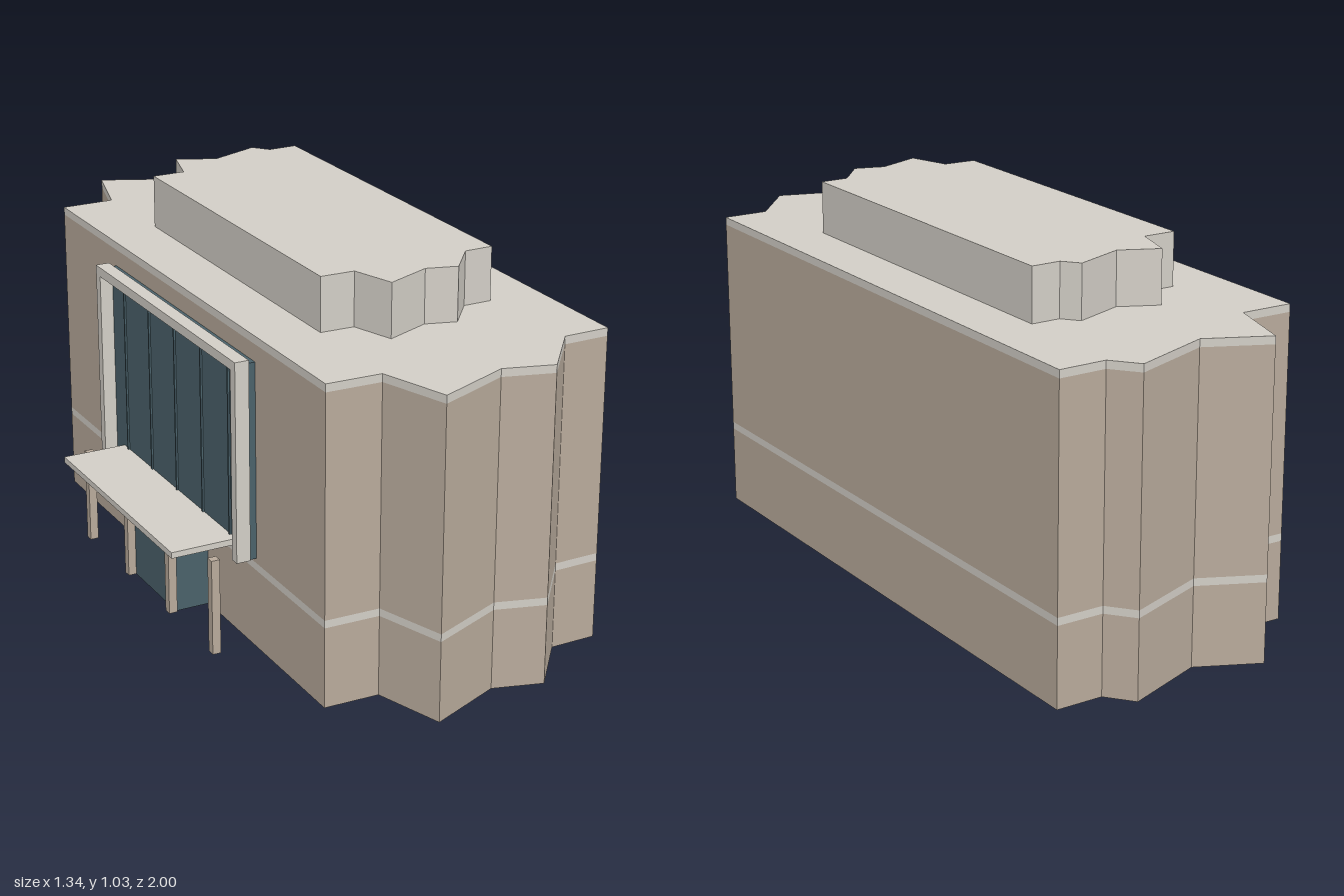
import * as THREE from 'three';

const stone = new THREE.MeshStandardMaterial({ color: 0xb8aa9b });
const trim = new THREE.MeshStandardMaterial({ color: 0xd2cec6 });
const glass = new THREE.MeshStandardMaterial({ color: 0x4a616a });

// Building footprint as [x, z] corners
const footprint = [
  [0.10, -1.0], [0.246, -0.877], [0.497, -0.905], [0.535, -0.82], [0.667, -0.787],
  [0.21, 0.91], [0.083, 0.877], [-0.083, 0.995], [-0.203, 0.92], [-0.427, 0.95],
  [-0.437, 0.745], [-0.585, 0.70], [-0.157, -0.857], [-0.01, -0.817],
];

function storey(name, y0, y1, material, scale = 1, dx = 0) {
  const shape = new THREE.Shape(
    footprint.map(([x, z]) => new THREE.Vector2(x * scale + dx, -z * scale)));
  const geo = new THREE.ExtrudeGeometry(shape, { depth: y1 - y0, bevelEnabled: false });
  geo.rotateX(-Math.PI / 2).translate(0, y0, 0);
  const mesh = new THREE.Mesh(geo, material);
  mesh.name = name;
  return mesh;
}

// Box given by its extents [x0, x1], [y0, y1], [z0, z1]
function box(name, [x0, x1], [y0, y1], [z0, z1], material) {
  const mesh = new THREE.Mesh(new THREE.BoxGeometry(x1 - x0, y1 - y0, z1 - z0), material);
  mesh.position.set((x0 + x1) / 2, (y0 + y1) / 2, (z0 + z1) / 2);
  mesh.name = name;
  return mesh;
}

export function createModel() {
  const model = new THREE.Group();
  model.name = 'building';

  // Stacked walls, stone bands and the smaller roof block
  model.add(
    storey('lowerWalls', 0, 0.225, stone),
    storey('stringCourse', 0.225, 0.246, trim),
    storey('upperWalls', 0.246, 0.858, stone),
    storey('roofSlab', 0.858, 0.88, trim),
    storey('roofBlock', 0.88, 1.03, trim, 0.62, 0.015),
  );

  // Entrance on the long wall: local x runs along the wall, local z points outwards
  const entrance = new THREE.Group();
  entrance.name = 'entrance';
  entrance.position.set(-0.371, 0, -0.0785);
  entrance.rotation.y = Math.atan2(-0.964, -0.265);
  model.add(entrance);

  // Large window with its frame and mullions
  entrance.add(box('windowGlass', [-0.433, 0.433], [0.26, 0.81], [-0.01, 0.022], glass));
  entrance.add(box('frameTop', [-0.438, 0.438], [0.793, 0.82], [0.02, 0.06], trim));
  for (const s of [-1, 1]) {
    const post = [s * 0.438, s * 0.411].sort((a, b) => a - b);
    entrance.add(box('framePost', post, [0.26, 0.793], [0.02, 0.06], trim));
  }
  for (let i = -2; i <= 2; i++) {
    const x = i * 0.163;
    entrance.add(box('mullion', [x - 0.003, x + 0.003], [0.26, 0.793], [0.02, 0.027], glass));
  }

  // Glazed porch, canopy and its row of columns
  entrance.add(box('porch', [-0.14, 0.14], [0, 0.275], [-0.01, 0.1], glass));
  entrance.add(box('canopy', [-0.359, 0.359], [0.275, 0.292], [-0.01, 0.21], trim));
  for (let i = 0; i < 4; i++) {
    const x = -0.405 + i * 0.27;
    entrance.add(box('column', [x - 0.012, x + 0.012], [0, 0.272], [0.099, 0.123], stone));
  }
  return model;
}
